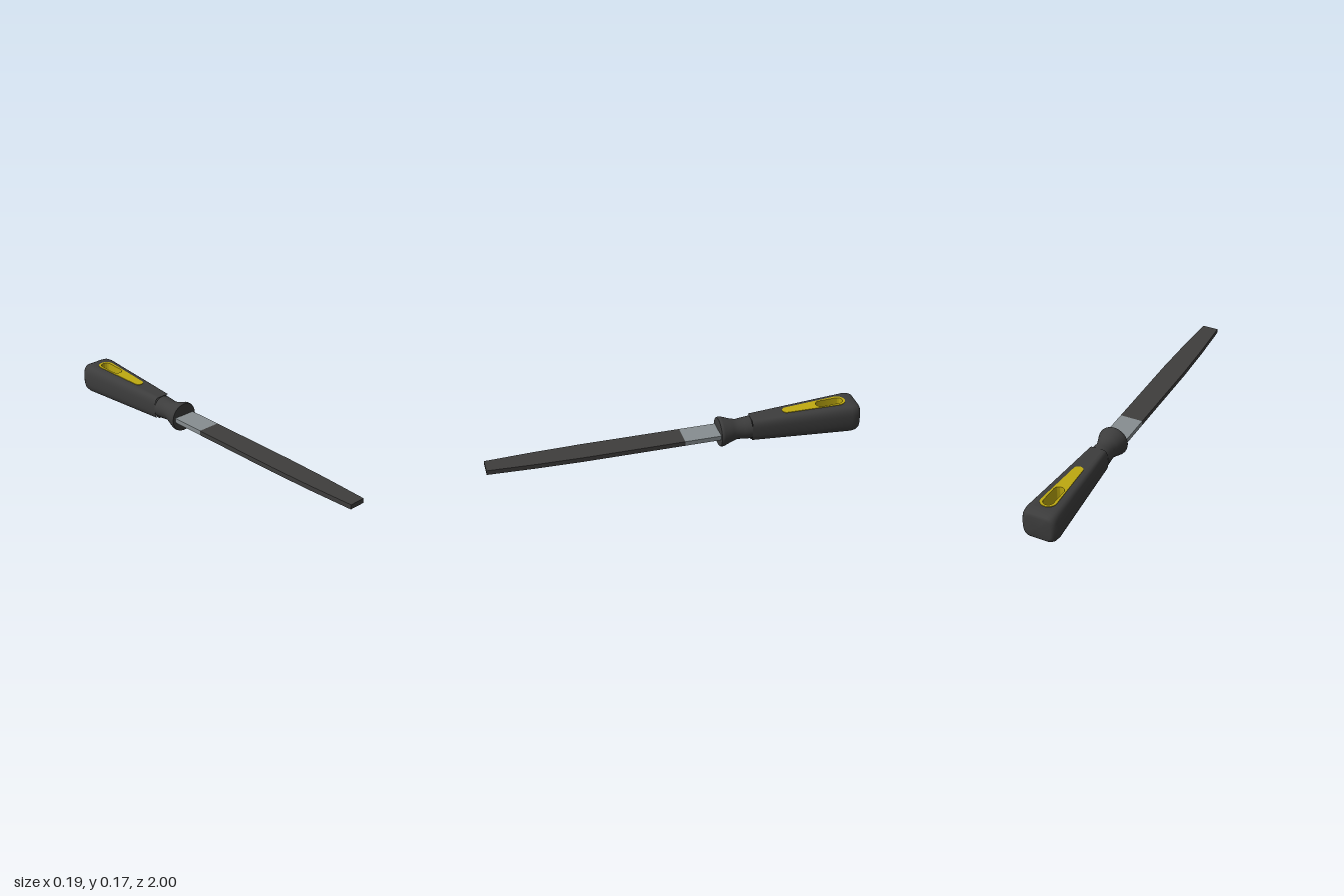
import * as THREE from 'three';
import { toCreasedNormals } from 'three/addons/utils/BufferGeometryUtils.js';

const CY = 0.083;                 // height of the tool's axis
const Z0 = -0.4, Z1 = -0.945;     // straight tapered part of the grip
const lerp = THREE.MathUtils.lerp;
const along = z => (z - Z0) / (Z1 - Z0);
const halfHeight = z => lerp(0.062, 0.08, along(z));
const halfWidth = z => lerp(0.056, 0.097, along(z));
const halfFlat = z => lerp(0.026, 0.05, along(z));

// Outline in the x/z plane with a round end of radius r1 at z1 and r2 at z2 (z1 < z2)
function capsule(r1, z1, r2, z2) {
  const s = new THREE.Shape();
  s.absarc(0, z1, r1, Math.PI, 2 * Math.PI);
  s.absarc(0, z2, r2, 0, Math.PI);
  s.closePath();
  return s;
}

// Extrude an x/z outline vertically; half(z) gives its half thickness
function slab(shape, half) {
  const g = new THREE.ExtrudeGeometry(shape, { depth: 1, bevelEnabled: false, curveSegments: 12 });
  g.rotateX(Math.PI / 2);
  const p = g.attributes.position;
  for (let i = 0; i < p.count; i++) {
    const h = half(p.getZ(i));
    p.setY(i, CY + (p.getY(i) > -0.5 ? h : -h));
  }
  return toCreasedNormals(g, 0.6);
}

function polygon(points) {
  return new THREE.Shape(points.map(([x, z]) => new THREE.Vector2(x, z)));
}

// Grip body: rounded sections, open along the flat top and bottom strips
function gripGeometry() {
  const rings = [[Z0, 1], [-0.58, 1], [-0.76, 1], [Z1, 1], [-0.975, 0.965], [-0.992, 0.87], [-1, 0.7]];
  const half = 12, n = 2 * (half + 1), pos = [], idx = [];
  for (const [z, s] of rings) {
    const zc = Math.max(z, Z1);
    const w = halfWidth(zc) * s, h = halfHeight(zc) * s, t = halfFlat(zc) * s;
    for (let j = 0; j < n; j++) {
      const right = j <= half;
      const a = Math.PI * (right ? j : n - 1 - j) / half;
      const c = Math.cos(a), sn = Math.max(0, Math.sin(a));
      const x = t + (w - t) * Math.pow(sn, 0.75);
      const y = h * Math.sign(c) * Math.pow(Math.abs(c), 0.75);
      pos.push(right ? x : -x, CY + y, z);
    }
  }
  for (let i = 0; i < rings.length - 1; i++) {
    for (let j = 0; j < n; j++) {
      if (i < 3 && (j === half || j === n - 1)) continue;
      const k = (j + 1) % n;
      const a = i * n + j, b = i * n + k, c = a + n, d = b + n;
      idx.push(a, b, c, b, d, c);
    }
  }
  // Butt end
  const centre = pos.length / 3, last = (rings.length - 1) * n;
  pos.push(0, CY, -1);
  for (let j = 0; j < n; j++) idx.push(centre, last + j, last + (j + 1) % n);
  const g = new THREE.BufferGeometry();
  g.setAttribute('position', new THREE.Float32BufferAttribute(pos, 3));
  g.setIndex(idx);
  g.computeVertexNormals();
  return g;
}

export function createModel() {
  const material = (name, color) => {
    const m = new THREE.MeshStandardMaterial({ color });
    m.name = name;
    return m;
  };
  const rubber = material('darkRubber', 0x3d3d3d);
  const yellow = material('yellowPlastic', 0xbfaa10);
  const steel = material('bareSteel', 0x878e91);
  const cut = material('darkCutSteel', 0x3f3e3d);

  const model = new THREE.Group();
  model.name = 'handFile';
  const add = (name, geometry, mat, parent = model) => {
    const m = new THREE.Mesh(geometry, mat);
    m.name = name;
    parent.add(m);
  };

  // Handle
  const handle = new THREE.Group();
  handle.name = 'handle';
  model.add(handle);
  add('grip', gripGeometry(), rubber, handle);

  // Flat strips above and below, cut out around the inlay
  const t0 = halfFlat(Z0), t1 = halfFlat(Z1);
  const strip = polygon([[-t1, Z1], [t1, Z1], [t0, Z0], [-t0, Z0]]);
  strip.holes.push(capsule(0.042, -0.89, 0.025, -0.605));
  add('gripFlats', slab(strip, halfHeight), rubber, handle);

  // Inlay running through the grip, with the hanging slot
  const inlay = capsule(0.042, -0.89, 0.025, -0.605);
  inlay.holes.push(capsule(0.027, -0.892, 0.027, -0.795));
  add('inlay', slab(inlay, z => halfHeight(z) + 0.003), yellow, handle);

  // Flared collar
  const profile = [[0, -0.4], [0.06, -0.4], [0.057, -0.36], [0.053, -0.325], [0.06, -0.298],
    [0.079, -0.245], [0.08, -0.235], [0.077, -0.226], [0, -0.225]];
  const collar = new THREE.LatheGeometry(profile.map(([r, z]) => new THREE.Vector2(r, z)), 32);
  collar.rotateX(Math.PI / 2);
  collar.translate(0, CY, 0);
  add('collar', toCreasedNormals(collar, 0.7), rubber, handle);

  // Blade
  const thickness = () => 0.0125;
  add('bladeShank', slab(polygon([[-0.062, -0.24], [0.062, -0.24], [0.062, -0.03], [-0.062, -0.03]]), thickness), steel);
  const edge = [[0.062, -0.03], [0.062, 0.5], [0.056, 0.75], [0.044, 1]];
  const mirrored = edge.map(([x, z]) => [-x, z]).reverse();
  add('cuttingBlade', slab(polygon([...edge, ...mirrored]), thickness), cut);

  return model;
}
